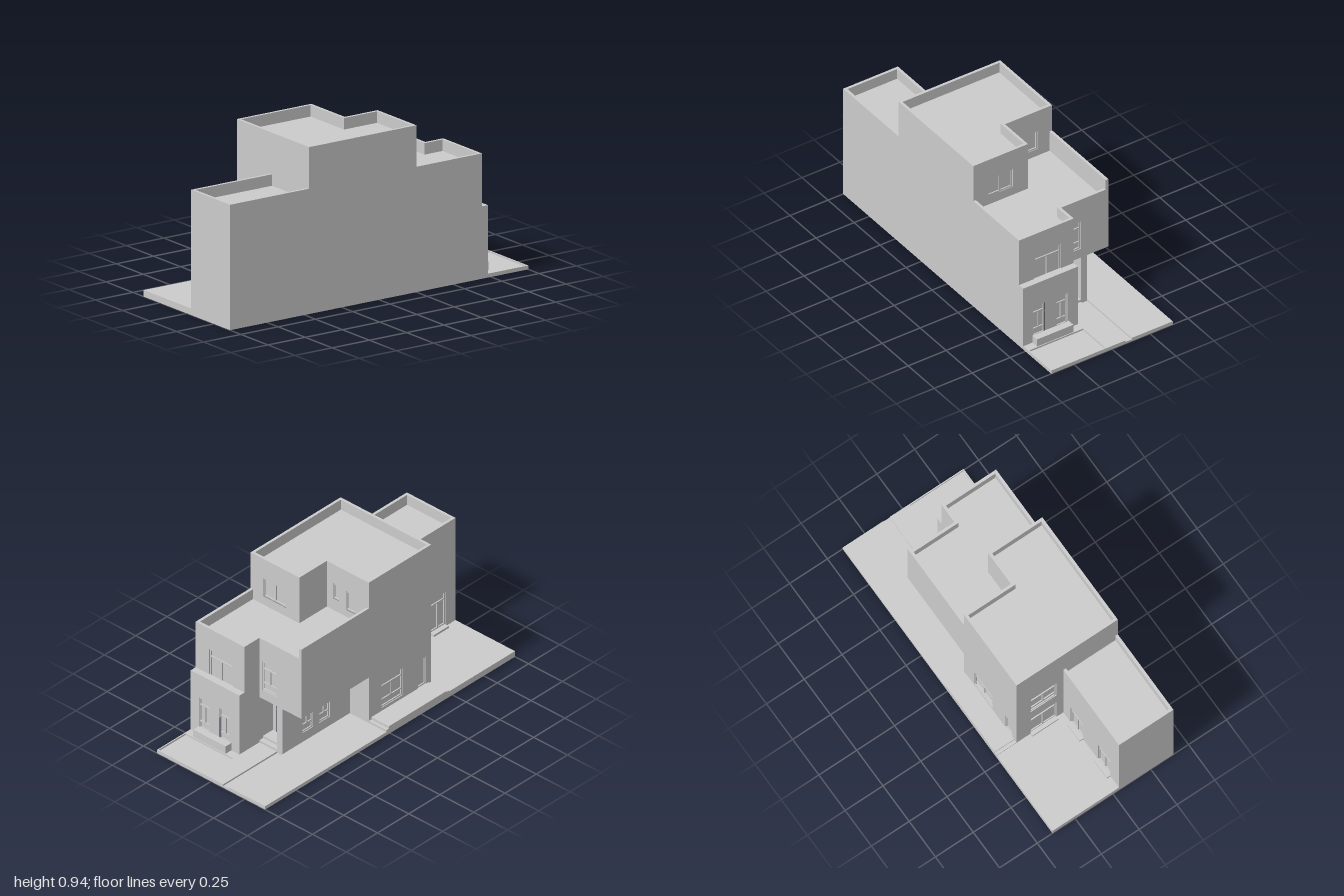
import * as THREE from 'three';

const grey = new THREE.MeshStandardMaterial({ color: 0xcccccc, flatShading: true });
const T = 0.017; // wall and parapet thickness

// Rotation and sign of the horizontal axis for each way a wall can face
const FACING = {
  front: [0, 1, 'z'],
  back: [Math.PI, -1, 'z'],
  right: [-Math.PI / 2, 1, 'x'],
  left: [Math.PI / 2, -1, 'x'],
};

const rect = (a0, y0, a1, y1) => [[a0, y0], [a1, y0], [a1, y1], [a0, y1]];
const points = (list) => list.map(([a, y]) => new THREE.Vector2(a, y));

// Flat panel with holes; its outer face lies at local z = -inset
function panel(name, outline, holes, depth, inset = 0) {
  const shape = new THREE.Shape(points(outline));
  holes.forEach((h) => shape.holes.push(new THREE.Path(points(h))));
  const geo = new THREE.ExtrudeGeometry(shape, { depth, bevelEnabled: false });
  geo.translate(0, 0, -depth - inset);
  const mesh = new THREE.Mesh(geo, grey);
  mesh.name = name;
  return mesh;
}

function box(name, x0, x1, y0, y1, z0, z1) {
  const mesh = new THREE.Mesh(new THREE.BoxGeometry(x1 - x0, y1 - y0, z1 - z0), grey);
  mesh.position.set((x0 + x1) / 2, (y0 + y1) / 2, (z0 + z1) / 2);
  mesh.name = name;
  return mesh;
}

// Frame with glazing cells, set back in its opening
function windowUnit(a0, y0, a1, y1, style) {
  const g = new THREE.Group();
  g.name = style === 'door' ? 'glazedDoor' : 'window';
  const m = 0.008;
  const mid = (a0 + a1) / 2;
  let low = y0 + m;
  let high = y1 - m;
  const cells = [];
  if (style === 'door' || style === 'window') {
    cells.push(rect(a0 + m, high - 0.034, a1 - m, high));
    high -= 0.042;
  }
  if (style === 'window') {
    cells.push(rect(a0 + m, low, a1 - m, low + 0.034));
    low += 0.042;
  }
  if (style === 'single') {
    cells.push(rect(a0 + m, low, a1 - m, high));
  } else {
    cells.push(rect(a0 + m, low, mid - m / 2, high), rect(mid + m / 2, low, a1 - m, high));
  }
  g.add(panel('windowFrame', rect(a0, y0, a1, y1), cells, 0.007, 0.005));
  g.add(panel('windowPane', rect(a0, y0, a1, y1), [], 0.004, 0.012));
  return g;
}

// Wall whose outer face lies at pos; openings are [a0, y0, a1, y1, style]
function wall(name, facing, pos, outline, openings = []) {
  const [turn, sign, axis] = FACING[facing];
  const g = new THREE.Group();
  g.name = name;
  const flip = (list) => list.map(([a, y]) => [a * sign, y]);
  g.add(panel(name + 'Panel', flip(outline), openings.map(([a0, y0, a1, y1]) => flip(rect(a0, y0, a1, y1))), T));
  for (const [a0, y0, a1, y1, style] of openings) {
    const u0 = Math.min(a0 * sign, a1 * sign);
    const u1 = Math.max(a0 * sign, a1 * sign);
    g.add(windowUnit(u0, y0, u1, y1, style));
  }
  g.rotation.y = turn;
  g.position[axis] = pos;
  return g;
}

export function createModel() {
  const house = new THREE.Group();
  house.name = 'house';
  const add = (...parts) => house.add(...parts);

  // Long party wall with the stepped outline of the house
  add(wall('partyWall', 'left', 0.4, [
    [1, 0], [1, 0.71], [0.47, 0.71], [0.47, 0.945], [-0.25, 0.945], [-0.25, 0.71],
    [-0.69, 0.71], [-0.69, 0.34], [-0.73, 0.34], [-0.73, 0],
  ]));

  // Front wing
  add(
    wall('wingFrontWall', 'front', 1, rect(0.04, 0, 0.4, 0.71)),
    wall('wingSideWall', 'right', 0.04, rect(0.47 - T, 0, 1, 0.71), [
      [0.54, 0.05, 0.66, 0.265, 'door'],
      [0.8, 0.05, 0.92, 0.265, 'door'],
    ]),
    box('wingRoof', 0.05, 0.39, 0.625, 0.645, 0.46, 0.99),
  );

  // Main block, front and side
  add(
    wall('mainFrontWall', 'front', 0.47, rect(-0.27, 0, 0.05, 0.945), [
      [-0.177, 0.05, -0.007, 0.267, 'door'],
      [-0.177, 0.377, -0.007, 0.57, 'window'],
    ]),
    wall('upperFrontWall', 'front', 0.47, rect(0.05, 0.63, 0.4, 0.945)),
    wall('mainSideWall', 'right', -0.27, rect(-0.03, 0, 0.47, 0.945), [
      [0.07, 0.07, 0.24, 0.25, 'window'],
      [0.36, 0.05, 0.43, 0.23, 'single'],
    ]),
  );

  // Top floor, set back at the rear
  add(
    wall('upperRearWall', 'back', -0.25, rect(0.04, 0.63, 0.4, 0.945), [[0.14, 0.7, 0.304, 0.817, 'pair']]),
    wall('upperReturnWall', 'right', 0.04, rect(-0.25, 0.63, -0.03 + T, 0.945)),
    wall('upperTerraceWall', 'back', -0.03, rect(-0.27, 0.63, 0.04 + T, 0.945), [
      [-0.05, 0.72, -0.004, 0.82, 'single'],
      [-0.175, 0.69, -0.1, 0.812, 'single'],
    ]),
    box('upperRoof', -0.26, 0.39, 0.86, 0.88, -0.02, 0.46),
    box('upperRearRoof', 0.05, 0.39, 0.86, 0.88, -0.24, -0.02),
  );

  // Middle floor at the rear, with a roof terrace
  add(
    wall('middleRearWall', 'back', -0.69, rect(0.04, 0.32, 0.4, 0.71), [[0.125, 0.35, 0.3, 0.575, 'door']]),
    wall('middleReturnWall', 'right', 0.04, rect(-0.69, 0.32, -0.57 + T, 0.71)),
    wall('overhangRearWall', 'back', -0.57, rect(-0.27, 0.32, 0.04 + T, 0.71), [[-0.09, 0.38, 0.02, 0.565, 'window']]),
    wall('overhangSideWall', 'right', -0.27, rect(-0.57, 0.32, -0.03, 0.775)),
    box('overhangFloor', -0.265, 0.05, 0.32, 0.34, -0.565, -0.02),
    box('terraceFloor', -0.26, 0.05, 0.625, 0.645, -0.56, -0.02),
    box('terraceRearFloor', 0.05, 0.39, 0.625, 0.645, -0.68, -0.24),
  );

  // Ground floor at the rear
  add(
    wall('bayWall', 'back', -0.73, rect(0.04, 0, 0.4, 0.34), [
      [0.11, 0.06, 0.186, 0.26, 'window'],
      [0.257, 0.06, 0.34, 0.26, 'window'],
    ]),
    wall('baySideWall', 'right', 0.04, rect(-0.73, 0, -0.46, 0.34)),
    box('balconyParapet', 0.04, 0.4, 0.335, 0.41, -0.73, -0.685),
    wall('passageEndWall', 'back', -0.03, rect(-0.27, 0, -0.12, 0.33)),
    wall('passageSideWall', 'right', -0.13, rect(-0.57, 0, -0.03, 0.33), [
      [-0.41, 0.08, -0.325, 0.27, 'window'],
      [-0.275, 0.08, -0.19, 0.27, 'window'],
    ]),
    box('porchPier', -0.128, -0.09, 0, 0.33, -0.57, -0.46),
    wall('porchWall', 'back', -0.46, rect(-0.11, 0, 0.05, 0.33), [[-0.08, 0.05, 0.02, 0.27, 'door']]),
  );

  // Front yard, side path and steps
  add(
    box('frontYard', -0.4, 0.04, 0, 0.037, 0.47, 1),
    box('sidePath', -0.4, -0.27, 0, 0.05, -0.01, 0.45),
    box('frontPathStep', -0.4, -0.27, 0, 0.043, 0.45, 0.47),
    box('rearPathStep', -0.4, -0.27, 0, 0.035, -0.03, -0.01),
    box('frontDoorstep', -0.177, -0.007, 0.03, 0.05, 0.47, 0.49),
  );
  for (const z of [0.54, 0.8]) add(box('sideDoorstep', 0.015, 0.04, 0.03, 0.05, z, z + 0.12));

  // Rear paving, drain channel, garden bed with rim, and porch steps
  add(
    box('rearPaving', -0.4, -0.13, 0, 0.022, -1, -0.03),
    box('drainChannel', -0.13, -0.09, 0, 0.012, -1, -0.57),
    box('porchPaving', -0.09, 0.04, 0, 0.022, -1, -0.57),
    box('porchStep', -0.09, 0.04, 0, 0.036, -0.57, -0.54),
    box('porchFloor', -0.09, 0.04, 0, 0.05, -0.54, -0.46),
    box('gardenBed', 0.04, 0.393, 0, 0.012, -0.993, -0.78),
    box('gardenSideRim', 0.393, 0.4, 0, 0.022, -1, -0.73),
    box('gardenRearRim', 0.04, 0.393, 0, 0.022, -1, -0.993),
    box('gardenPaving', 0.04, 0.393, 0, 0.022, -0.78, -0.73),
    box('planter', 0.1, 0.34, 0.02, 0.07, -0.775, -0.73),
  );

  return house;
}
